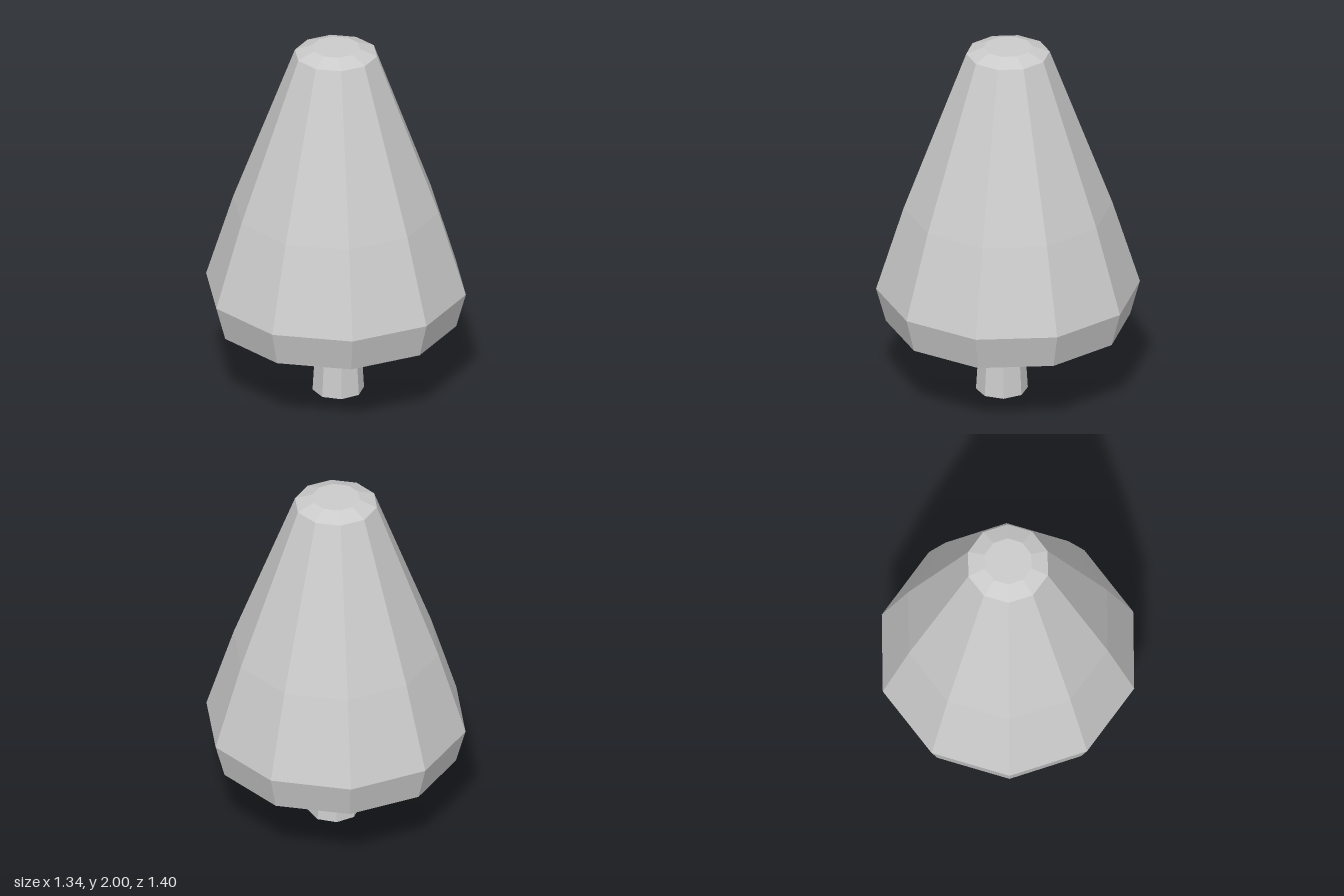
import * as THREE from 'three';

export function createModel() {
  const model = new THREE.Group();
  const material = new THREE.MeshStandardMaterial({ color: 0xcccccc, flatShading: true });

  // Ten-sided foliage, profile (radius, height) from underside to tip
  const profile = [
    [0, 0.28], [0.22, 0.28], [0.35, 0.293], [0.65, 0.41], [0.702, 0.6],
    [0.555, 1.07], [0.222, 1.965], [0.13, 2], [0, 2],
  ].map(([r, y]) => new THREE.Vector2(r, y));
  const foliage = new THREE.Mesh(new THREE.LatheGeometry(profile, 10), material);
  foliage.name = 'foliage';
  model.add(foliage);

  // Tapered eight-sided trunk, slightly off centre
  const trunkHeight = 0.3;
  const trunk = new THREE.Mesh(new THREE.CylinderGeometry(0.12, 0.138, trunkHeight, 8), material);
  trunk.name = 'trunk';
  trunk.position.set(0.008, trunkHeight / 2, 0.033);
  model.add(trunk);

  return model;
}
